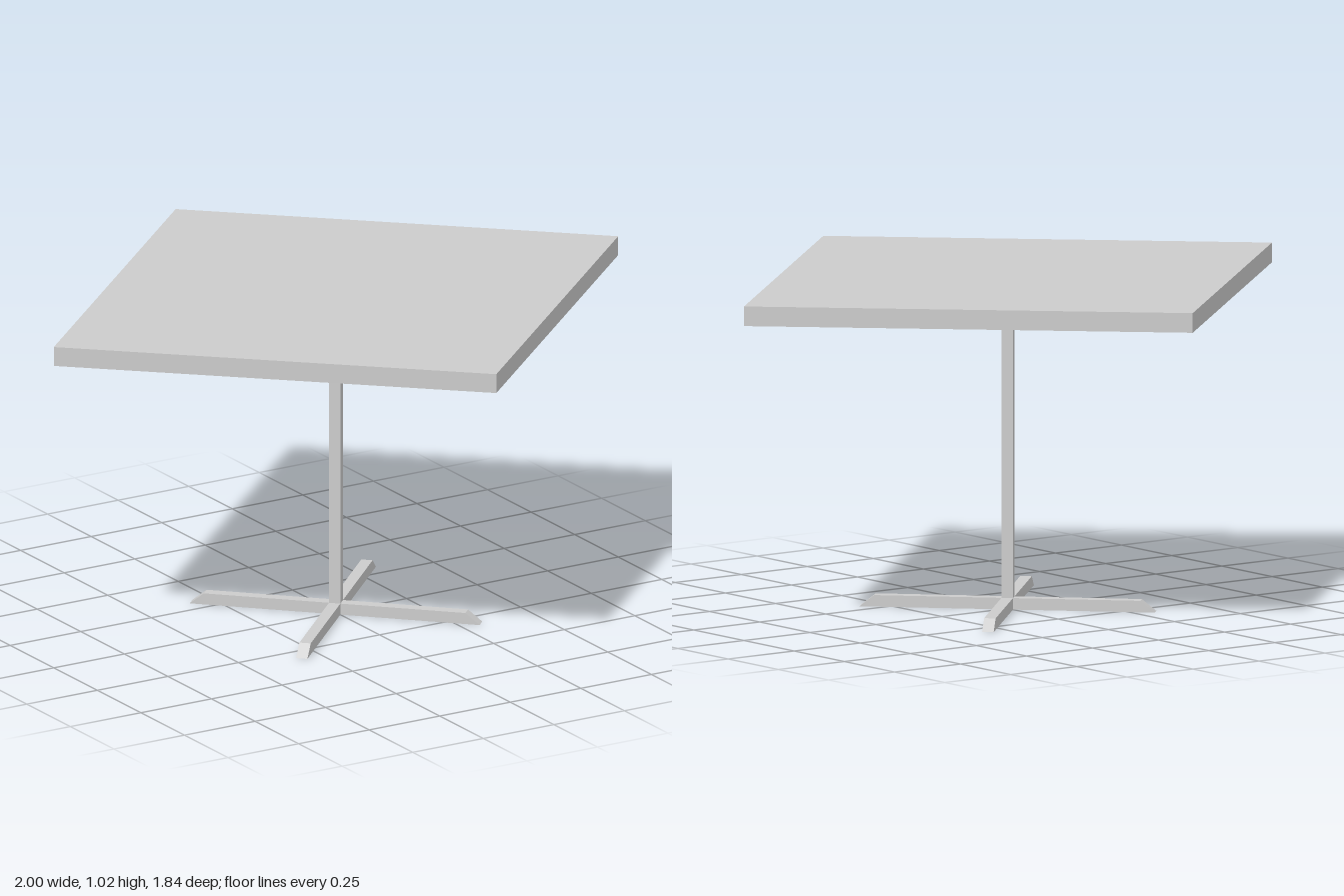
import * as THREE from 'three';

const material = new THREE.MeshStandardMaterial({ color: 0xcccccc, flatShading: true });

function extrude(points, depth) {
  const shape = new THREE.Shape(points.map(([x, y]) => new THREE.Vector2(x, y)));
  return new THREE.ExtrudeGeometry(shape, { depth, bevelEnabled: false });
}

export function createModel() {
  const group = new THREE.Group();
  const add = (name, geometry) => {
    const mesh = new THREE.Mesh(geometry, material);
    mesh.name = name;
    group.add(mesh);
    return mesh;
  };

  // Diamond-shaped slab
  const top = add('tableTop', extrude([[1, 0], [0, 0.92], [-1, 0], [0, -0.92]], 0.06).rotateX(-Math.PI / 2));
  top.position.y = 0.96;

  // Square post, turned to line up with the feet
  const side = 0.035;
  const post = add('post', new THREE.BoxGeometry(side, 0.93, side));
  post.position.y = 0.495;
  post.rotation.y = Math.PI / 4;

  // Two crossed foot bars with sloping ends
  const profile = [[-0.449, 0], [0.449, 0], [0.405, 0.035], [-0.405, 0.035]];
  for (const turn of [1, -1]) {
    const bar = add('footBar', extrude(profile, side).translate(0, 0, -side / 2));
    bar.rotation.y = turn * Math.PI / 4;
  }

  return group;
}
